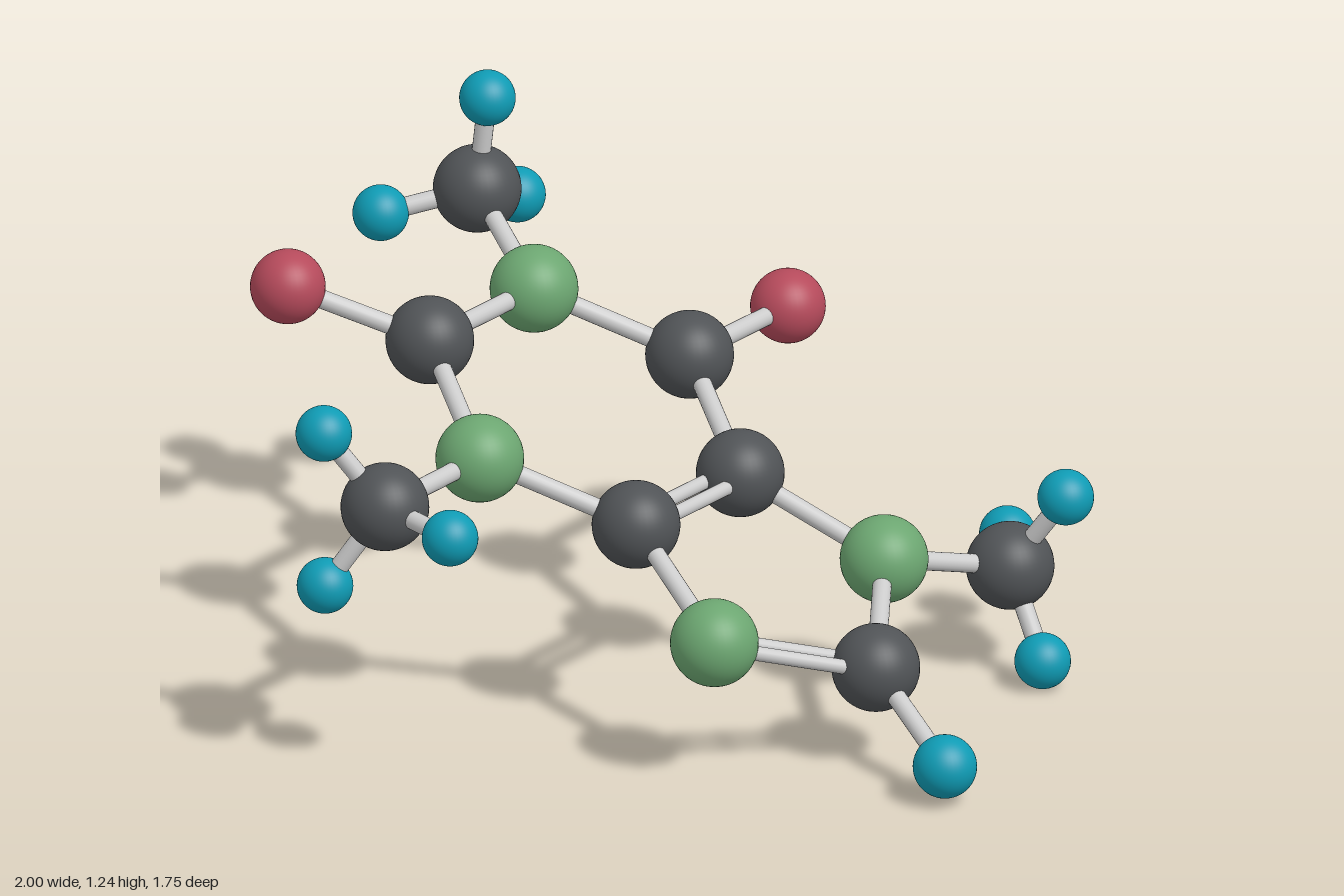
import * as THREE from 'three';

// Ball types: radius and colour
const KINDS = {
  carbon: [0.102, 0x505356],
  nitrogen: [0.102, 0x6ca671],
  oxygen: [0.087, 0xb54a5b],
  hydrogen: [0.065, 0x0f9bb4],
  ringHydrogen: [0.074, 0x0f9bb4],
};

// Ball centres: kind, x, y, z
const ATOMS = {
  // six-sided ring
  n1: ['nitrogen', -0.505, 0.82, -0.213],
  c2: ['carbon', -0.505, 0.82, 0.177],
  n3: ['nitrogen', -0.205, 0.668, 0.376],
  c4: ['carbon', 0.097, 0.516, 0.18],
  c5: ['carbon', 0.097, 0.516, -0.21],
  c6: ['carbon', -0.205, 0.668, -0.409],
  o2: ['oxygen', -0.767, 0.95, 0.371],
  o6: ['oxygen', -0.205, 0.668, -0.777],
  // five-sided ring
  n7: ['nitrogen', 0.425, 0.348, -0.326],
  c8: ['carbon', 0.645, 0.237, -0.012],
  n9: ['nitrogen', 0.425, 0.348, 0.309],
  h8: ['ringHydrogen', 0.922, 0.094, 0.086],
  // three side groups, each a carbon with three small balls
  cA: ['carbon', -0.783, 0.95, -0.358],
  hA1: ['hydrogen', -0.757, 1.18, -0.363],
  hA2: ['hydrogen', -0.828, 0.855, -0.567],
  hA3: ['hydrogen', -0.936, 0.904, -0.194],
  cB: ['carbon', -0.205, 0.664, 0.731],
  hB1: ['hydrogen', -0.322, 0.842, 0.809],
  hB2: ['hydrogen', 0.021, 0.659, 0.778],
  hB3: ['hydrogen', -0.317, 0.466, 0.811],
  cC: ['carbon', 0.548, 0.26, -0.639],
  hC1: ['hydrogen', 0.682, 0.452, -0.675],
  hC2: ['hydrogen', 0.405, 0.245, -0.813],
  hC3: ['hydrogen', 0.677, 0.07, -0.595],
};

const SINGLE = 'n1-c2 c2-n3 n3-c4 c5-c6 c6-n1 c2-o2 c6-o6 c5-n7 n7-c8 n9-c4 c8-h8 ' +
  'n1-cA cA-hA1 cA-hA2 cA-hA3 n3-cB cB-hB1 cB-hB2 cB-hB3 n7-cC cC-hC1 cC-hC2 cC-hC3';
const DOUBLE = 'c4-c5 c8-n9';
const UP = new THREE.Vector3(0, 1, 0);

export function createModel() {
  const model = new THREE.Group();
  const balls = new THREE.Group();
  const rods = new THREE.Group();
  balls.name = 'atoms';
  rods.name = 'bonds';
  model.add(balls, rods);

  // Balls share one geometry and material per kind
  const shared = {};
  for (const [kind, [radius, color]] of Object.entries(KINDS)) {
    shared[kind] = [
      new THREE.SphereGeometry(radius, 40, 28),
      new THREE.MeshStandardMaterial({ color }),
    ];
  }
  const centre = {};
  for (const [id, [kind, x, y, z]] of Object.entries(ATOMS)) {
    const ball = new THREE.Mesh(...shared[kind]);
    ball.name = kind + 'Atom';
    ball.position.set(x, y, z);
    centre[id] = ball.position;
    balls.add(ball);
  }

  // Rod between two balls, optionally shifted sideways
  const rodMaterial = new THREE.MeshStandardMaterial({ color: 0xcccccc });
  function addRod(pair, radius, shift, name) {
    const [a, b] = pair.split('-').map((id) => centre[id]);
    const along = b.clone().sub(a);
    const side = along.clone().cross(UP).normalize().multiplyScalar(shift);
    const rod = new THREE.Mesh(
      new THREE.CylinderGeometry(radius, radius, along.length(), 20), rodMaterial);
    rod.name = name;
    rod.position.copy(a).add(b).multiplyScalar(0.5).add(side);
    rod.quaternion.setFromUnitVectors(UP, along.normalize());
    rods.add(rod);
  }
  for (const pair of SINGLE.split(' ')) addRod(pair, 0.022, 0, 'singleBond');
  for (const pair of DOUBLE.split(' ')) {
    for (const s of [-1, 1]) addRod(pair, 0.017, s * 0.031, 'doubleBondRod');
  }
  return model;
}
